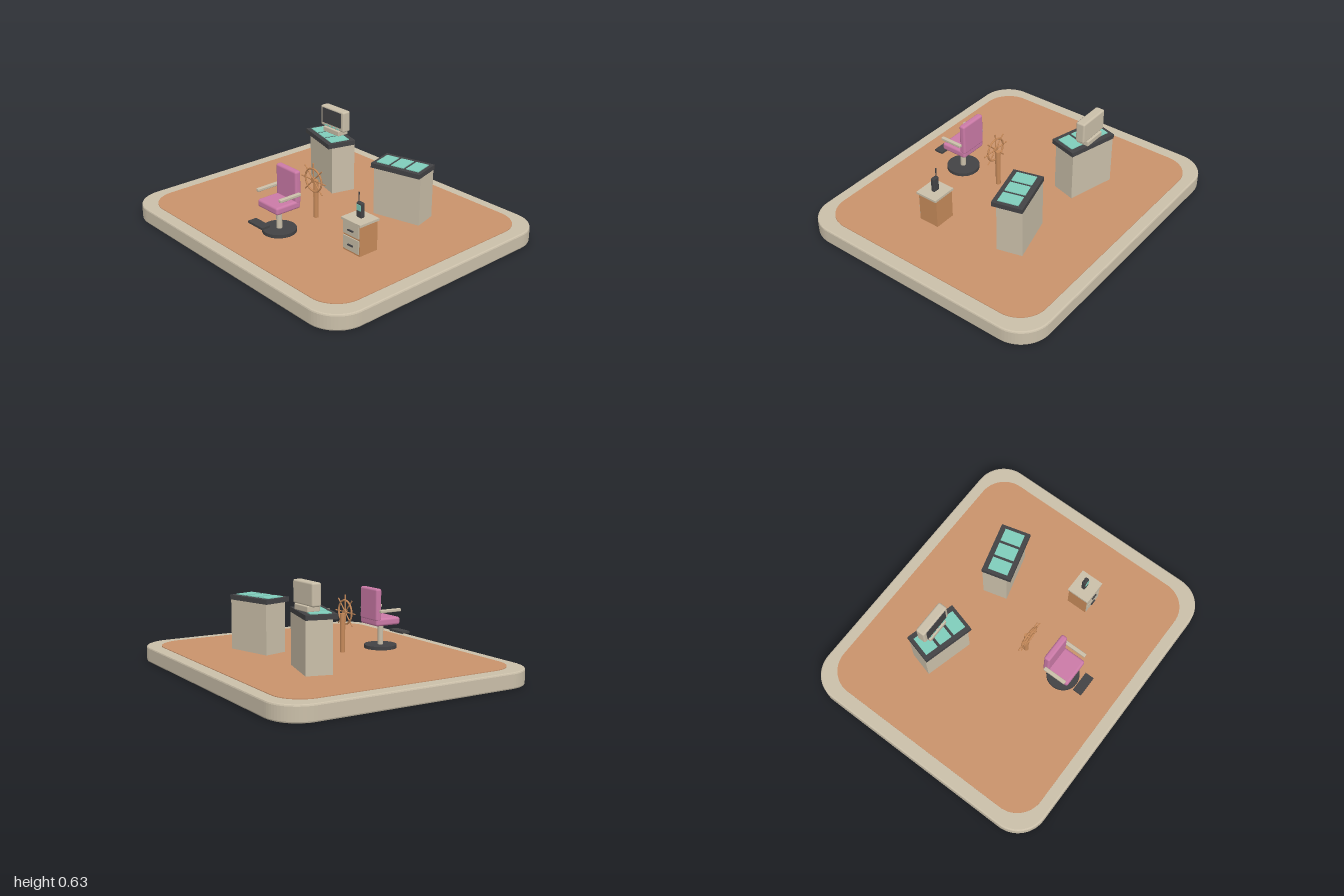
import * as THREE from 'three';
import { RoundedBoxGeometry } from 'three/addons/geometries/RoundedBoxGeometry.js';

const paint = (name, color) => {
  const m = new THREE.MeshStandardMaterial({ color });
  m.name = name;
  return m;
};

export function createModel() {
  const beige = paint('beige', 0xcabfa9);
  const deckTan = paint('deck tan', 0xc9926b);
  const wood = paint('wood', 0xc68a5a);
  const dark = paint('charcoal', 0x434345);
  const teal = paint('teal', 0x7fcdbb);
  const pink = paint('pink', 0xcb7aa7);

  const group = (name, parent) => {
    const g = new THREE.Group();
    g.name = name;
    if (parent) parent.add(g);
    return g;
  };
  const add = (parent, name, geo, mat, x = 0, y = 0, z = 0) => {
    const m = new THREE.Mesh(geo, mat);
    m.name = name;
    m.position.set(x, y, z);
    parent.add(m);
    return m;
  };
  // Box given by its centre and size; r rounds the edges
  const box = (parent, name, mat, [x, y, z], [w, h, d], r = 0) =>
    add(parent, name, r ? new RoundedBoxGeometry(w, h, d, 2, r) : new THREE.BoxGeometry(w, h, d), mat, x, y, z);
  const rod = (parent, name, mat, [x, y, z], r, h, sides = 16) =>
    add(parent, name, new THREE.CylinderGeometry(r, r, h, sides), mat, x, y, z);

  // Rounded rectangle slab lying flat from y0 to y1
  const slab = (parent, name, mat, hx, hz, r, y0, y1, bevel) => {
    const a = hx - bevel, b = hz - bevel, c = r - bevel, s = new THREE.Shape();
    s.moveTo(-a + c, -b);
    s.lineTo(a - c, -b).absarc(a - c, -b + c, c, -Math.PI / 2, 0);
    s.lineTo(a, b - c).absarc(a - c, b - c, c, 0, Math.PI / 2);
    s.lineTo(-a + c, b).absarc(-a + c, b - c, c, Math.PI / 2, Math.PI);
    s.lineTo(-a, -b + c).absarc(-a + c, -b + c, c, Math.PI, Math.PI * 1.5);
    const geo = new THREE.ExtrudeGeometry(s, {
      depth: y1 - y0 - 2 * bevel, bevelEnabled: bevel > 0, bevelSize: bevel,
      bevelThickness: bevel, bevelSegments: 2, curveSegments: 8,
    });
    geo.rotateX(-Math.PI / 2);
    return add(parent, name, geo, mat, 0, y0 + bevel, 0);
  };

  const model = group('bridgeDeck');

  // Platform and deck floor
  slab(model, 'platform', beige, 1, 0.862, 0.2, 0, 0.1, 0.01);
  slab(model, 'deckFloor', deckTan, 0.912, 0.785, 0.18, 0.098, 0.104, 0);

  // Two angled consoles with three panels each
  for (const side of [-1, 1]) {
    const console_ = group(side < 0 ? 'rightConsole' : 'leftConsole', model);
    console_.position.set(side * 0.337, 0, -0.288);
    console_.rotation.y = side * Math.PI / 12;
    box(console_, 'consoleBody', beige, [0, 0.265, -0.014], [0.326, 0.33, 0.163]);
    box(console_, 'consoleTop', dark, [0, 0.44, 0], [0.34, 0.03, 0.194]);
    for (const i of [-1, 0, 1])
      box(console_, 'consolePanel', teal, [i * 0.104, 0.457, 0.002], [0.086, 0.006, 0.13]);
  }

  // Monitor on one console
  const monitor = group('monitor', model);
  monitor.position.set(-0.337, 0, -0.333);
  box(monitor, 'monitorFoot', beige, [0, 0.475, 0], [0.155, 0.036, 0.084], 0.006);
  box(monitor, 'monitorCase', beige, [0, 0.56, 0], [0.225, 0.14, 0.062], 0.012);
  box(monitor, 'monitorScreen', dark, [0, 0.567, 0.032], [0.176, 0.102, 0.006]);
  for (const i of [-1.5, -0.5, 0.5, 1.5])
    box(monitor, 'monitorButton', teal, [i * 0.038, 0.502, 0.032], [0.022, 0.008, 0.006]);

  // Helm chair
  const chair = group('chair', model);
  chair.position.z = 0.418;
  rod(chair, 'chairBase', dark, [0, 0.114, 0], 0.106, 0.024, 32);
  rod(chair, 'chairPedestal', beige, [0, 0.195, 0], 0.018, 0.14, 20);
  box(chair, 'seat', pink, [0, 0.286, -0.003], [0.19, 0.05, 0.184], 0.015);
  box(chair, 'backrest', pink, [0, 0.398, -0.077], [0.19, 0.21, 0.042], 0.014);
  box(chair, 'footrest', dark, [0, 0.198, 0.152], [0.136, 0.014, 0.06]);
  for (const side of [-1, 1])
    box(chair, 'armrest', beige, [side * 0.107, 0.36, 0], [0.024, 0.02, 0.156], 0.005);

  // Steering wheel on its post
  const helm = group('helm', model);
  rod(helm, 'helmPost', wood, [0, 0.227, 0.126], 0.016, 0.254);
  const wheel = group('steeringWheel', helm);
  wheel.position.set(0, 0.36, 0.145);
  add(wheel, 'wheelRim', new THREE.TorusGeometry(0.075, 0.006, 8, 32), wood);
  rod(wheel, 'wheelHub', wood, [0, 0, 0], 0.017, 0.016).rotation.x = Math.PI / 2;
  for (let i = 0; i < 4; i++)
    rod(wheel, 'wheelSpoke', wood, [0, 0, 0], 0.004, 0.224, 8).rotation.z = i * Math.PI / 4;

  // Drawer cabinet
  const cabinet = group('cabinet', model);
  cabinet.position.set(0.5, 0, 0.214);
  box(cabinet, 'cabinetBody', wood, [0, 0.199, 0], [0.142, 0.198, 0.138]);
  box(cabinet, 'cabinetTop', beige, [0, 0.304, 0.003], [0.164, 0.015, 0.152]);
  for (const [y, h] of [[0.255, 0.078], [0.16, 0.086]]) {
    box(cabinet, 'drawerFront', beige, [0, y, 0.071], [0.132, h, 0.008]);
    box(cabinet, 'drawerHandle', dark, [0, y - 0.005, 0.079], [0.042, 0.008, 0.01]);
  }

  // Handheld radio standing on the cabinet
  const radio = group('radio', model);
  radio.position.set(0.499, 0, 0.214);
  box(radio, 'radioBody', dark, [0, 0.359, 0], [0.046, 0.096, 0.028], 0.008);
  box(radio, 'radioScreen', teal, [0, 0.376, 0.0145], [0.034, 0.038, 0.004]);
  rod(radio, 'radioAntenna', dark, [-0.014, 0.43, 0], 0.004, 0.072, 10);

  return model;
}
